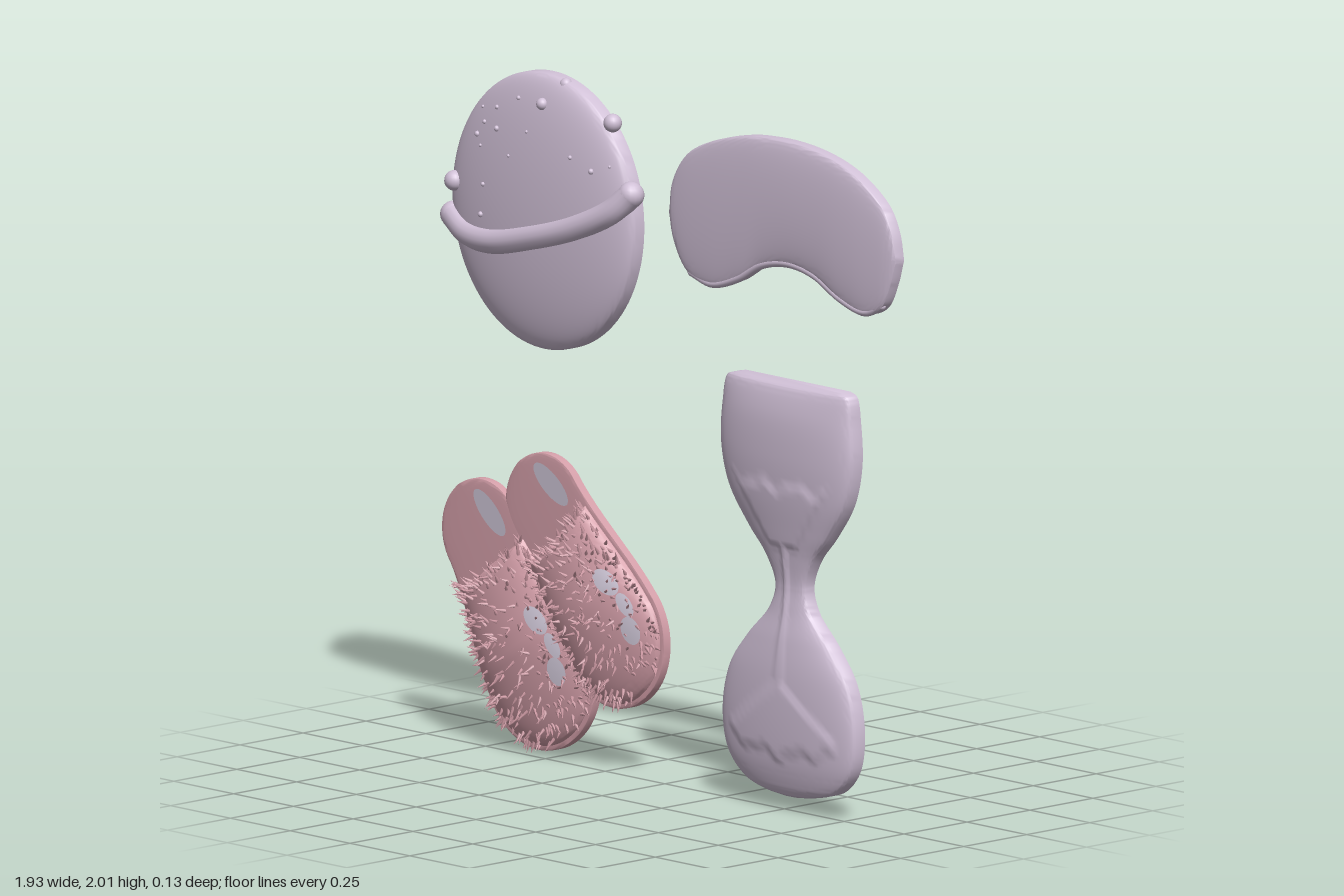
import * as THREE from 'three';
import { mergeGeometries, toCreasedNormals } from 'three/addons/utils/BufferGeometryUtils.js';

const lavender = new THREE.MeshStandardMaterial({ name: 'lavender', color: 0xd0c0d6 });
const pink = new THREE.MeshStandardMaterial({ name: 'dusty pink', color: 0xd49fa9 });
const shine = new THREE.MeshStandardMaterial({ name: 'pale shine', color: 0xccc4d4, side: THREE.DoubleSide });

const clamp = THREE.MathUtils.clamp;
const dome = (v, power = 0.5) => Math.pow(Math.max(0, 1 - v * v), power);

function part(parent, name, geometry, material) {
  const mesh = new THREE.Mesh(geometry, material);
  mesh.name = name;
  parent.add(mesh);
  return mesh;
}

// Flat-backed cushion: each row [ax, ay, bx, by, height] is one section from edge a to edge b.
function relief(rows, { back, edge, power = 0.5, bump = () => 0, bow = () => 0 }) {
  const M = 40, ring = M + 3, pos = [], idx = [];
  rows.forEach(([ax, ay, bx, by, h], i) => {
    pos.push(ax, ay, back);
    for (let j = 0; j <= M; j++) {
      const v = -Math.cos(Math.PI * j / M), u = (v + 1) / 2;
      const x = ax + (bx - ax) * u, y = ay + (by - ay) * u - bow(i / (rows.length - 1)) * (1 - v * v);
      pos.push(x, y, edge + h * dome(v, power) + bump(x, y));
    }
    pos.push(bx, by, back);
  });
  for (let i = 0; i < rows.length - 1; i++) {
    for (let j = 0; j < ring; j++) {
      const a = i * ring + j, b = i * ring + (j + 1) % ring;
      idx.push(a, a + ring, b + ring, a, b + ring, b);
    }
  }
  const last = (rows.length - 1) * ring;
  for (let k = 1; k < ring - 1; k++) idx.push(0, k, k + 1, last, last + k + 1, last + k);
  const g = new THREE.BufferGeometry();
  g.setAttribute('position', new THREE.Float32BufferAttribute(pos, 3));
  g.setIndex(idx);
  return toCreasedNormals(g, 0.75);
}

// Smooth interpolation of a few hand-placed sections.
function smoothRows(rows, n) {
  const a = new THREE.CatmullRomCurve3(rows.map(r => new THREE.Vector3(r[0], r[1], r[4])));
  const b = new THREE.CatmullRomCurve3(rows.map(r => new THREE.Vector3(r[2], r[3], r[4])));
  return Array.from({ length: n + 1 }, (_, i) => {
    const p = a.getPoint(i / n), q = b.getPoint(i / n);
    return [p.x, p.y, q.x, q.y, Math.max(0, p.z)];
  });
}

function tube(points, radius, segments = 60) {
  const curve = new THREE.CatmullRomCurve3(points.map(p => new THREE.Vector3(...p)));
  const ends = [points[0], points[points.length - 1]].map(p =>
    new THREE.SphereGeometry(radius, 16, 12).translate(...p));
  return mergeGeometries([new THREE.TubeGeometry(curve, segments, radius, 14), ...ends]);
}

function makeBall() {
  const g = new THREE.Group();
  g.name = 'bathBall';
  const cx = -0.53, cy = 1.594, rx = 0.38, ry = 0.406;
  const rows = Array.from({ length: 49 }, (_, i) => {
    const a = Math.PI * i / 48, w = rx * Math.sin(a) + 0.001, y = cy + ry * Math.cos(a);
    return [cx - w, y, cx + w, y, 0.068 * Math.sin(a)];
  });
  part(g, 'ballBody', relief(rows, { back: -0.06, edge: -0.028 }), lavender);
  part(g, 'ballBand', tube([[-0.905, 1.53, -0.02], [-0.82, 1.492, 0], [-0.7, 1.487, 0.016], [-0.52, 1.525, 0.022],
    [-0.35, 1.577, 0.016], [-0.22, 1.64, 0], [-0.163, 1.695, -0.02]], 0.039), lavender);
  // Loose bubbles and small surface grains
  [[-0.88, 1.635, 0, 0.03], [-0.25, 1.892, -0.03, 0.027], [-0.5, 1.917, 0.012, 0.018], [-0.445, 1.977, -0.03, 0.019]]
    .forEach(([x, y, z, r]) => part(g, 'bubble', new THREE.SphereGeometry(r, 20, 14).translate(x, y, z), lavender));
  const grains = [[-0.76, 1.87], [-0.74, 1.83], [-0.77, 1.79], [-0.75, 1.76], [-0.69, 1.88], [-0.68, 1.82], [-0.62, 1.75],
    [-0.73, 1.65], [-0.74, 1.56], [-0.55, 1.83], [-0.37, 1.78], [-0.29, 1.75], [-0.23, 1.77], [-0.6, 1.92]];
  part(g, 'grains', mergeGeometries(grains.map(([x, y], i) => {
    const z = -0.028 + 0.068 * Math.sqrt(1 - ((x - cx) / rx) ** 2 - ((y - cy) / ry) ** 2);
    return new THREE.SphereGeometry(0.005 + 0.002 * (i % 3), 8, 6).translate(x, y, z);
  })), lavender);
  return g;
}

function makeMask() {
  const g = new THREE.Group();
  g.name = 'sleepMask';
  const rows = smoothRows([
    [0.014, 1.67, 0.016, 1.69, 0.001], [0.035, 1.59, 0.03, 1.77, 0.008], [0.09, 1.51, 0.09, 1.855, 0.014],
    [0.19, 1.48, 0.2, 1.91, 0.019], [0.3, 1.512, 0.34, 1.944, 0.022], [0.4, 1.568, 0.43, 1.952, 0.023],
    [0.51, 1.588, 0.52, 1.953, 0.023], [0.62, 1.57, 0.63, 1.942, 0.022], [0.73, 1.515, 0.74, 1.915, 0.021],
    [0.83, 1.49, 0.83, 1.873, 0.018], [0.9, 1.52, 0.91, 1.81, 0.013], [0.94, 1.595, 0.947, 1.74, 0.007],
    [0.96, 1.66, 0.961, 1.67, 0.001]], 72);
  part(g, 'maskPad', relief(rows, { back: -0.037, edge: -0.004 }), lavender);
  // Piping under the nose curve
  part(g, 'maskPiping', tube([[0.1, 1.508, -0.012], [0.19, 1.488, -0.008], [0.3, 1.52, -0.006], [0.4, 1.574, -0.006],
    [0.51, 1.594, -0.006], [0.62, 1.576, -0.006], [0.73, 1.523, -0.006], [0.83, 1.498, -0.008], [0.895, 1.525, -0.012]],
    0.012), lavender);
  return g;
}

function makeHourglass() {
  const g = new THREE.Group();
  g.name = 'hourglass';
  const profile = [[1.248, 0.3, 0.74, 0.012], [1.235, 0.263, 0.768, 0.03], [1.16, 0.247, 0.783, 0.05], [1.04, 0.241, 0.789, 0.055],
    [0.92, 0.272, 0.76, 0.047], [0.81, 0.353, 0.686, 0.032], [0.73, 0.427, 0.618, 0.02], [0.65, 0.464, 0.588, 0.013],
    [0.58, 0.44, 0.61, 0.02], [0.49, 0.353, 0.695, 0.036], [0.39, 0.277, 0.768, 0.046], [0.26, 0.246, 0.799, 0.047],
    [0.14, 0.267, 0.783, 0.04], [0.07, 0.335, 0.722, 0.026], [0.042, 0.42, 0.63, 0.014], [0.032, 0.5, 0.55, 0.002]];
  // Sand in both bulbs and the falling stream stand slightly proud
  const sand = (x, y) => {
    const dx = Math.abs(x - 0.522);
    const wave = 0.012 * Math.sin(x * 45) + 0.008 * Math.sin(x * 83);
    const upper = Math.min(0.2 - (0.97 - y) * 0.7 - dx, y - 0.765, 0.955 + wave - y);
    const pile = Math.min(0.385 - 0.72 * dx - y, y - 0.15 - wave - dx * 0.15, 0.22 - dx);
    const stream = Math.min(0.016 - dx, 0.79 - y, y - 0.36);
    return 0.006 * clamp(Math.max(upper, pile, stream) / 0.014, 0, 1);
  };
  const rows = smoothRows(profile.map(([y, l, r, h]) => [l, y, r, y, h]), 120);
  part(g, 'hourglassBody', relief(rows, { back: -0.036, edge: 0, bump: sand }), lavender);
  return g;
}

function makeSlipper(name, x, y, angle, heelR, toeR, length, seed) {
  const g = new THREE.Group();
  g.name = name;
  g.position.set(x, y, 0);
  g.rotation.z = angle;
  const rand = () => (seed = (seed * 16807) % 2147483647) / 2147483647;
  const width = (py, inset) => {
    const a = heelR - inset, b = toeR - inset;
    if (py > 0) return Math.sqrt(Math.max(0, a * a - py * py)) + 0.001;
    if (py < -length) return Math.sqrt(Math.max(0, b * b - (py + length) ** 2)) + 0.001;
    return a + (b - a) * THREE.MathUtils.smoothstep(-py, 0, length);
  };
  const rowsBetween = (top, bottom, inset, height) => Array.from({ length: 57 }, (_, i) => {
    const py = (top + bottom) / 2 + (top - bottom) / 2 * Math.cos(Math.PI * i / 56), w = width(py, inset);
    return [-w, py, w, py, height(py)];
  });
  part(g, 'sole', relief(rowsBetween(heelR, -length - toeR, 0, () => 0.004), { back: -0.06, edge: -0.034 }), pink);

  // Domed toe cover with a scooped opening
  const inset = 0.014, open = -0.09, tip = -length - toeR + inset;
  const height = py => 0.074 * Math.sqrt(clamp((py - tip) / 0.3, 0, 1)) * (0.75 + 0.25 * clamp((open - py) / 0.2, 0, 1));
  part(g, 'toeCover', relief(rowsBetween(open, tip, inset, height),
    { back: -0.05, edge: -0.034, bow: t => 0.05 * (1 - t) ** 2 }), pink);
  const surface = (px, py) => {
    const yy = Math.min(py, open);
    return -0.034 + height(yy) * dome(px / width(yy, inset));
  };

  // Fluffy tufts
  const tufts = [], up = new THREE.Vector3(0, 1, 0), mid = (open + tip) / 2 - 0.03;
  for (let i = 0; i < 420; i++) {
    const v = Math.sin((rand() - 0.5) * Math.PI) * 0.97;
    const fringe = i < 40;
    const py = (fringe ? open : open + (tip + 0.02 - open) * rand()) - 0.05 * (1 - v * v) * (fringe ? 1 : 0.5);
    if (py < tip + 0.015) continue;
    const px = v * width(py, inset), size = 0.022 + 0.02 * rand();
    const dir = new THREE.Vector3(px * 4 + rand() - 0.5, (py - mid) * 3 - 0.2 + (rand() - 0.5), 0.45).normalize();
    const cone = new THREE.ConeGeometry(0.0065, size, 5, 1).translate(0, size / 2 - 0.005, 0);
    cone.applyQuaternion(new THREE.Quaternion().setFromUnitVectors(up, dir));
    tufts.push(cone.translate(px, py, Math.min(surface(px, py), 0.036)));
  }
  part(g, 'fluff', mergeGeometries(tufts), pink);

  // Pale shine patches laid on the heel and the toe cover
  const patch = (label, cx, cy, rx, ry, turn, z) => {
    const p = new THREE.RingGeometry(0.001, 1, 28, 5).scale(rx, ry, 1).rotateZ(turn).translate(cx, cy, 0);
    const a = p.attributes.position;
    for (let i = 0; i < a.count; i++) a.setZ(i, z(a.getX(i), a.getY(i)));
    p.computeVertexNormals();
    part(g, label, p, shine);
  };
  patch('heelShine', 0.075, 0.035, 0.034, 0.085, 0.25, () => -0.027);
  [[0.14, -0.33, 0.028, 0.05], [0.155, -0.42, 0.02, 0.04], [0.125, -0.49, 0.03, 0.042]].forEach(([cx, cy, rx, ry], i) =>
    patch('fluffShine', cx - 0.01, cy, rx, ry, 0.3 - i * 0.3, (px, py) => surface(px, py) + 0.005));
  return g;
}

export function createModel() {
  const model = new THREE.Group();
  model.name = 'spaSet';
  model.add(makeBall(), makeMask(), makeHourglass(),
    makeSlipper('frontSlipper', -0.805, 0.602, 0.59, 0.162, 0.232, 0.44, 17),
    makeSlipper('rearSlipper', -0.54, 0.718, 0.714, 0.16, 0.21, 0.443, 91));
  return model;
}
